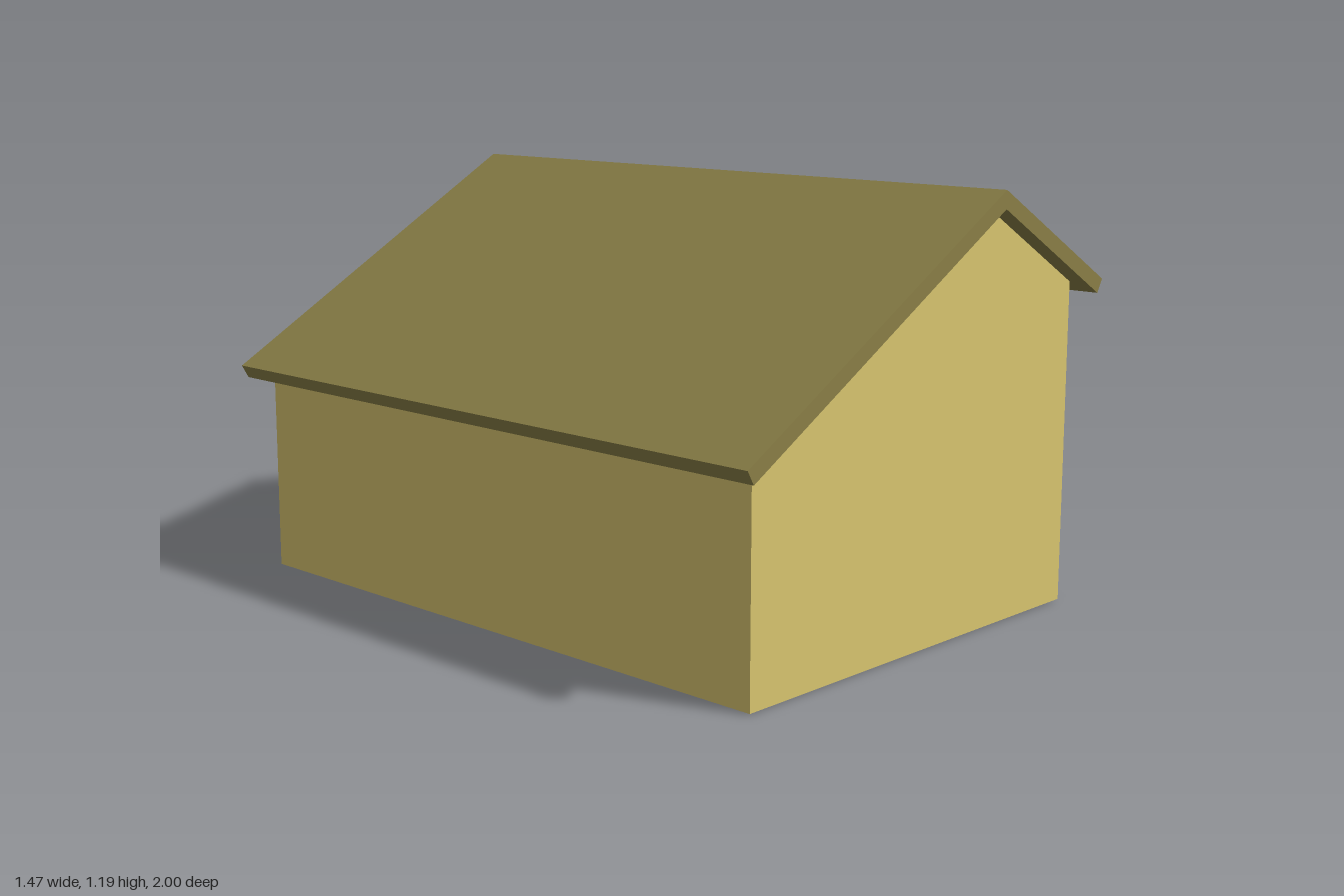
import * as THREE from 'three';

const SLOPE = Math.tan(Math.PI / 6);
const RIDGE_X = 0.262, RIDGE_Y = 1.191;
const ROOF_DROP = 0.05;   // vertical thickness of the roof
const EAVE_X = 0.737, WALL_X = 0.66, WALL_Z = 0.945;

// Height of the roof's top surface at x
const roofY = (x) => RIDGE_Y - Math.abs(x - RIDGE_X) * SLOPE;

// Extrude an x/y outline along z, centred on z = 0
function prism(name, points, length, color) {
  const shape = new THREE.Shape(points.map(([x, y]) => new THREE.Vector2(x, y)));
  const geometry = new THREE.ExtrudeGeometry(shape, { depth: length, bevelEnabled: false });
  geometry.translate(0, 0, -length / 2);
  const mesh = new THREE.Mesh(geometry, new THREE.MeshStandardMaterial({ color }));
  mesh.name = name;
  return mesh;
}

export function createModel() {
  const house = new THREE.Group();
  house.name = 'house';

  // Walls with asymmetric gables reaching the underside of the roof
  const under = (x) => roofY(x) - ROOF_DROP;
  house.add(prism('walls', [
    [-WALL_X, 0.002], [WALL_X, 0.002], [WALL_X, under(WALL_X)],
    [RIDGE_X, under(RIDGE_X)], [-WALL_X, under(-WALL_X)],
  ], 2 * WALL_Z, 0xd9c670));

  // Bent roof slab, eaves cut square to the slope
  const t = ROOF_DROP * Math.cos(Math.PI / 6);
  const dx = t * 0.5, dy = t * Math.cos(Math.PI / 6);
  house.add(prism('roof', [
    [-EAVE_X, roofY(-EAVE_X)], [-EAVE_X + dx, roofY(-EAVE_X) - dy],
    [RIDGE_X, RIDGE_Y - ROOF_DROP],
    [EAVE_X - dx, roofY(EAVE_X) - dy], [EAVE_X, roofY(EAVE_X)],
    [RIDGE_X, RIDGE_Y],
  ], 2, 0x8b8047));

  // Floor plate
  const floor = new THREE.Mesh(
    new THREE.BoxGeometry(2 * WALL_X - 0.02, 0.01, 2 * WALL_Z - 0.02),
    new THREE.MeshStandardMaterial({ color: 0x888888 }));
  floor.name = 'floor';
  floor.position.y = 0.005;
  house.add(floor);

  return house;
}
